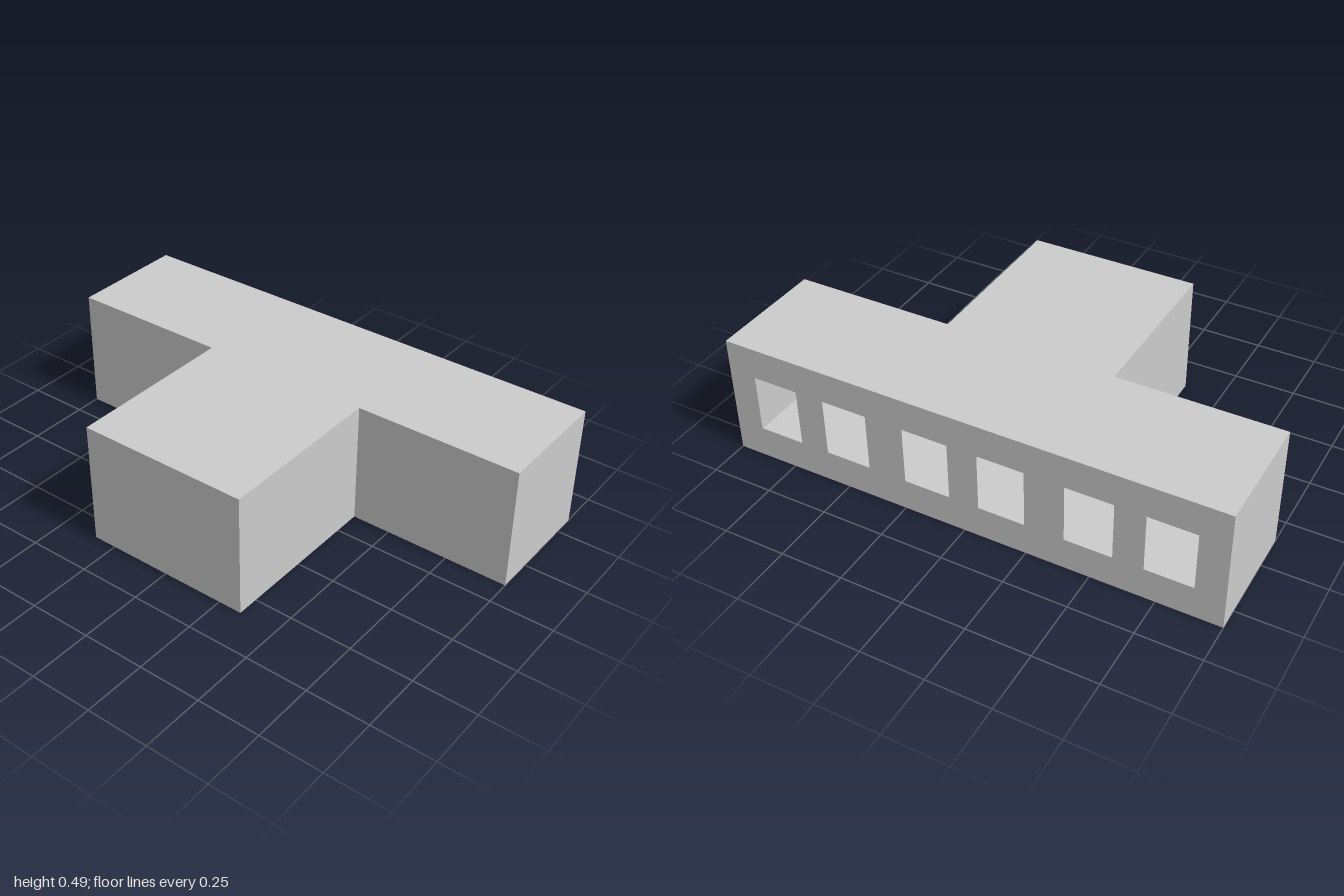
import * as THREE from 'three';

const H = 0.494;      // wall height
const W = 1;          // half length of the long wing
const S = 0.345;      // half width of the stem
const Z = 0.587;      // half depth
const J = -0.107;     // front wall of the long wing

// T-shaped plan as [x, z], starting and ending on the back wall
const PLAN = [[-W, -Z], [-W, J], [-S, J], [-S, Z], [S, Z], [S, J], [W, J], [W, -Z]];
const WALL_NAMES = ['rightEndWall', 'rightWingFrontWall', 'stemRightWall', 'stemFrontWall',
  'stemLeftWall', 'leftWingFrontWall', 'leftEndWall', 'windowedBackWall'];

const rectPoints = (x0, x1, y0, y1) =>
  [[x0, y0], [x1, y0], [x1, y1], [x0, y1]].map(([x, y]) => new THREE.Vector2(x, y));

export function createModel() {
  const model = new THREE.Group();
  model.name = 'hollowTBuilding';
  const material = new THREE.MeshStandardMaterial({
    color: 0xcccccc, side: THREE.DoubleSide, flatShading: true,
  });
  const add = (name, geometry) => {
    const mesh = new THREE.Mesh(geometry, material);
    mesh.name = name;
    model.add(mesh);
    return mesh;
  };

  // Roof and floor slabs share the plan outline
  const slab = (sign) => new THREE.ShapeGeometry(
    new THREE.Shape(PLAN.map(([x, z]) => new THREE.Vector2(x, sign * z))));
  add('roof', slab(-1).rotateX(-Math.PI / 2).translate(0, H, 0));
  add('floor', slab(1).rotateX(Math.PI / 2));

  // One thin wall per plan edge, facing outwards
  PLAN.forEach(([x0, z0], i) => {
    const [x1, z1] = PLAN[(i + 1) % PLAN.length];
    const half = Math.hypot(x1 - x0, z1 - z0) / 2;
    const shape = new THREE.Shape(rectPoints(-half, half, 0, H));

    // Three mirrored pairs of windows in the back wall
    if (i === PLAN.length - 1) {
      for (const x of [0.06, 0.4, 0.702]) {
        shape.holes.push(new THREE.Path(rectPoints(x, x + 0.185, 0.13, 0.365).reverse()));
        shape.holes.push(new THREE.Path(rectPoints(-x - 0.185, -x, 0.13, 0.365).reverse()));
      }
    }
    const wall = add(WALL_NAMES[i], new THREE.ShapeGeometry(shape));
    wall.position.set((x0 + x1) / 2, 0, (z0 + z1) / 2);
    wall.rotation.y = Math.atan2(z0 - z1, x1 - x0);
  });

  return model;
}
